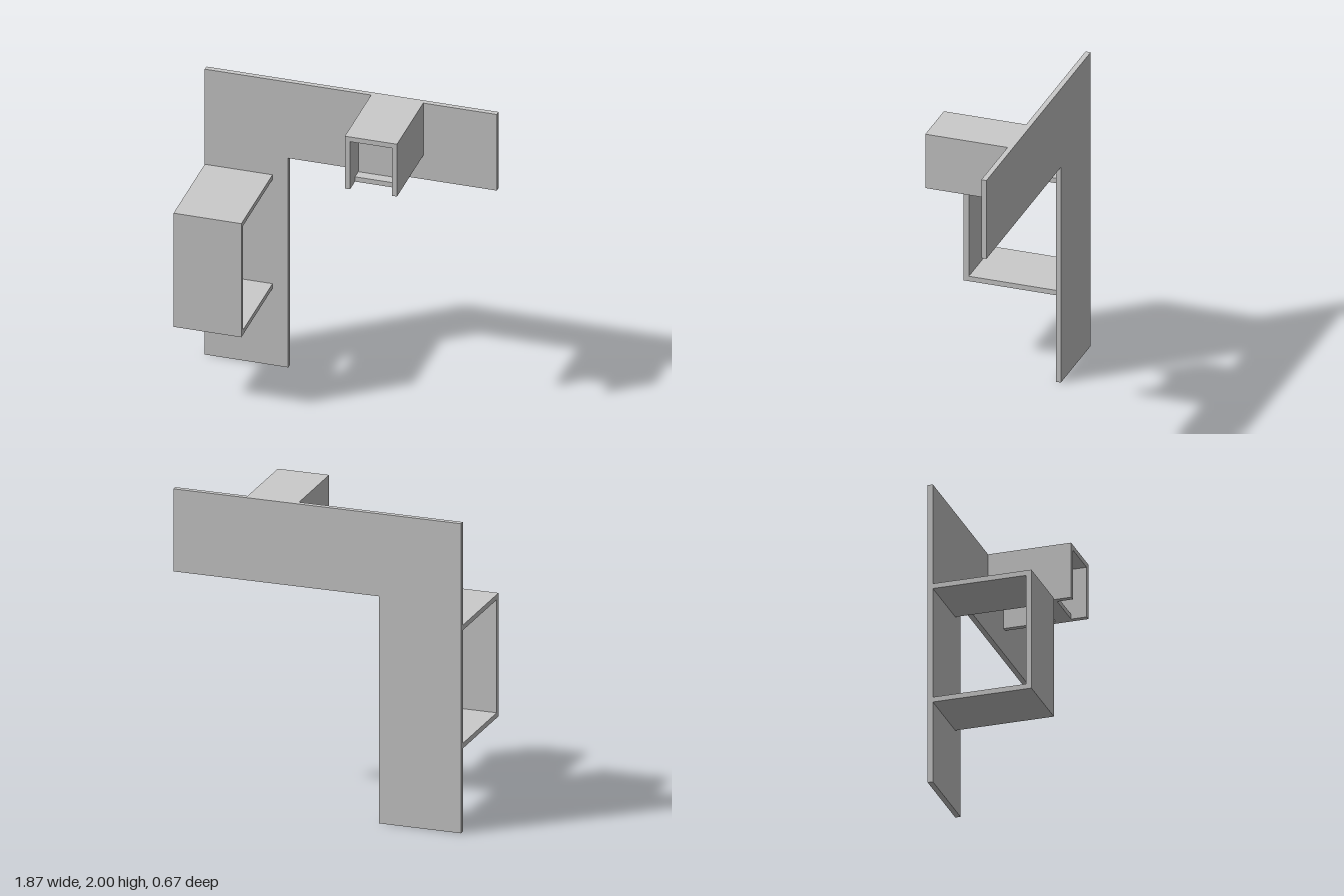
import * as THREE from 'three';

const T = 0.0333; // board thickness
const material = new THREE.MeshStandardMaterial({ color: 0xcccccc, flatShading: true });

// Box given by its minimum and maximum corners
function board(name, [x0, y0, z0], [x1, y1, z1]) {
  const geometry = new THREE.BoxGeometry(x1 - x0, y1 - y0, z1 - z0);
  const mesh = new THREE.Mesh(geometry, material);
  mesh.position.set((x0 + x1) / 2, (y0 + y1) / 2, (z0 + z1) / 2);
  mesh.name = name;
  return mesh;
}

function part(name, ...meshes) {
  const group = new THREE.Group();
  group.name = name;
  group.add(...meshes);
  return group;
}

export function createModel() {
  const model = new THREE.Group();
  model.name = 'wallUnit';
  const zBack = -0.3333, zWall = zBack + T;

  // L-shaped back panel
  const outline = new THREE.Shape([
    [-0.9333, 0], [-0.4, 0], [-0.4, 1.4667], [0.9333, 1.4667], [0.9333, 2], [-0.9333, 2],
  ].map(([x, y]) => new THREE.Vector2(x, y)));
  const panel = new THREE.Mesh(
    new THREE.ExtrudeGeometry(outline, { depth: T, bevelEnabled: false }), material);
  panel.position.z = zBack;
  panel.name = 'backPanel';
  model.add(panel);

  // Large loop, open at both sides
  const [lx0, lx1, ly0, ly1, lz] = [-0.9333, -0.5, 0.5367, 1.3333, 0.3333];
  model.add(part('largeLoop',
    board('loopTop', [lx0, ly1 - T, zWall], [lx1, ly1, lz]),
    board('loopBottom', [lx0, ly0, zWall], [lx1, ly0 + T, lz]),
    board('loopFront', [lx0, ly0 + T, lz - T], [lx1, ly1 - T, lz])));

  // Small hood with an inner back plate and a short shelf
  const [hx0, hx1, hy0, hy1, hz] = [0.13, 0.4633, 1.6333, 2, 0.2333];
  const plateBack = 0.0333;
  model.add(part('smallHood',
    board('hoodTop', [hx0, hy1 - T, zWall], [hx1, hy1, hz]),
    board('hoodRightSide', [hx0, hy0, zWall], [hx0 + T, hy1 - T, hz]),
    board('hoodLeftSide', [hx1 - T, hy0, zWall], [hx1, hy1 - T, hz]),
    board('hoodPlate', [hx0 + T, hy0 + T, plateBack], [hx1 - T, hy1 - T, plateBack + T]),
    board('hoodShelf', [hx0 + T, hy0, plateBack], [hx1 - T, hy0 + T, 0.1333])));

  return model;
}
